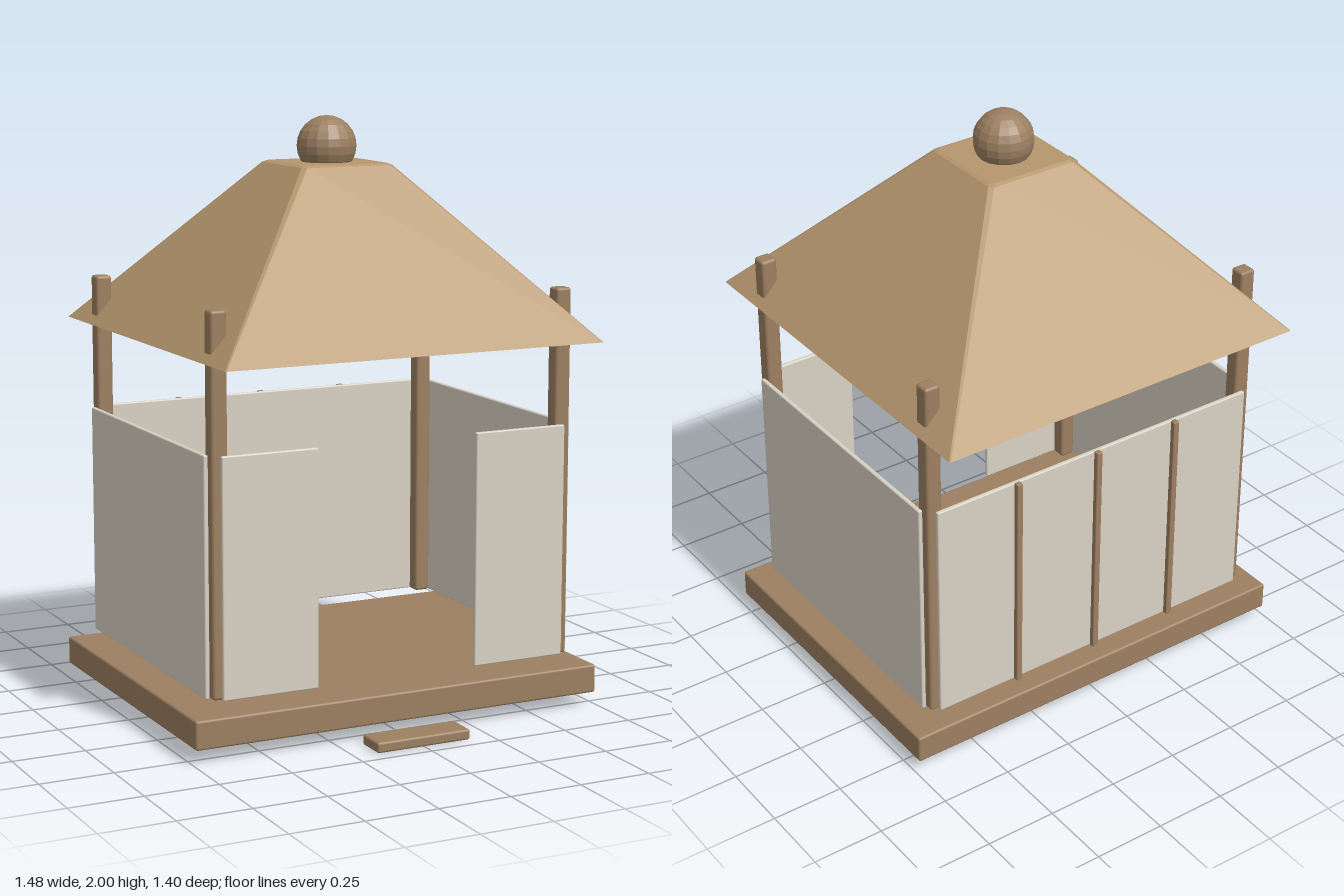
import * as THREE from 'three';
import { RoundedBoxGeometry } from 'three/addons/geometries/RoundedBoxGeometry.js';
import { ConvexGeometry } from 'three/addons/geometries/ConvexGeometry.js';

const paint = (color, flatShading = false) => new THREE.MeshStandardMaterial({ color, flatShading });
const wood = paint(0x9c7f60);
const panel = paint(0xd8d1c4);
const thatch = paint(0xb6976e, true);
const knob = paint(0x9c7f60, true);

const CZ = -0.017; // centre of the pavilion, the step lies in front of it
const POST_X = 0.628, POST_Z = 0.487;
const WALL_Y0 = 0.185, WALL_Y1 = 0.98, WALL_T = 0.016;

export function createModel() {
  const model = new THREE.Group();
  model.name = 'pavilion';

  const add = (name, geometry, material, x, y, z) => {
    const mesh = new THREE.Mesh(geometry, material);
    mesh.name = name;
    mesh.position.set(x, y, z);
    model.add(mesh);
  };

  // Box with softened edges, given by x/z centre and bottom/top heights
  const box = (name, w, d, y0, y1, x, z, material, bevel = 0.008) =>
    add(name, new RoundedBoxGeometry(w, y1 - y0, d, 2, bevel), material, x, (y0 + y1) / 2, z);

  // Floor and step
  box('floor', 1.484, 1.142, 0.047, 0.145, 0, CZ, wood);
  box('step', 0.34, 0.11, 0, 0.036, 0, 0.645, wood);

  // Corner posts, poking through the roof
  for (const sx of [-1, 1])
    for (const sz of [-1, 1])
      box('post', 0.056, 0.056, WALL_Y0, 1.44, sx * POST_X, CZ + sz * POST_Z, wood, 0.01);

  // Thin wall panels outside the posts
  const out = 0.028 + WALL_T / 2;
  const wall = (name, w, d, x, z) => box(name, w, d, WALL_Y0, WALL_Y1, x, z, panel, 0.005);
  for (const s of [-1, 1]) {
    wall('sideWall', WALL_T, POST_Z * 2, s * (POST_X + out), CZ);
    wall('frontWall', POST_X - 0.29, WALL_T, s * (POST_X + 0.29) / 2, CZ + POST_Z + out);
  }
  wall('backWall', POST_X * 2, WALL_T, 0, CZ - POST_Z - out);

  // Battens on the back wall
  for (const x of [-0.32, 0, 0.32])
    box('batten', 0.022, 0.022, WALL_Y0, WALL_Y1, x, CZ - POST_Z - 0.028 - WALL_T - 0.007, wood, 0.004);

  // Truncated pyramid roof with chamfered hips: [height, half width, chamfer]
  const points = [];
  for (const [y, h, c] of [[1.275, 0.681, 0.004], [1.828, 0.177, 0.014], [1.839, 0.168, 0.014], [1.845, 0.155, 0.012]])
    for (const sx of [-1, 1])
      for (const sz of [-1, 1])
        points.push(
          new THREE.Vector3(sx * h, y, sz * (h - c)),
          new THREE.Vector3(sx * (h - c), y, sz * h));
  add('roof', new ConvexGeometry(points), thatch, 0, 0, CZ);

  // Ball on the roof
  add('finial', new THREE.SphereGeometry(0.101, 16, 12), knob, 0, 1.899, CZ);

  return model;
}
